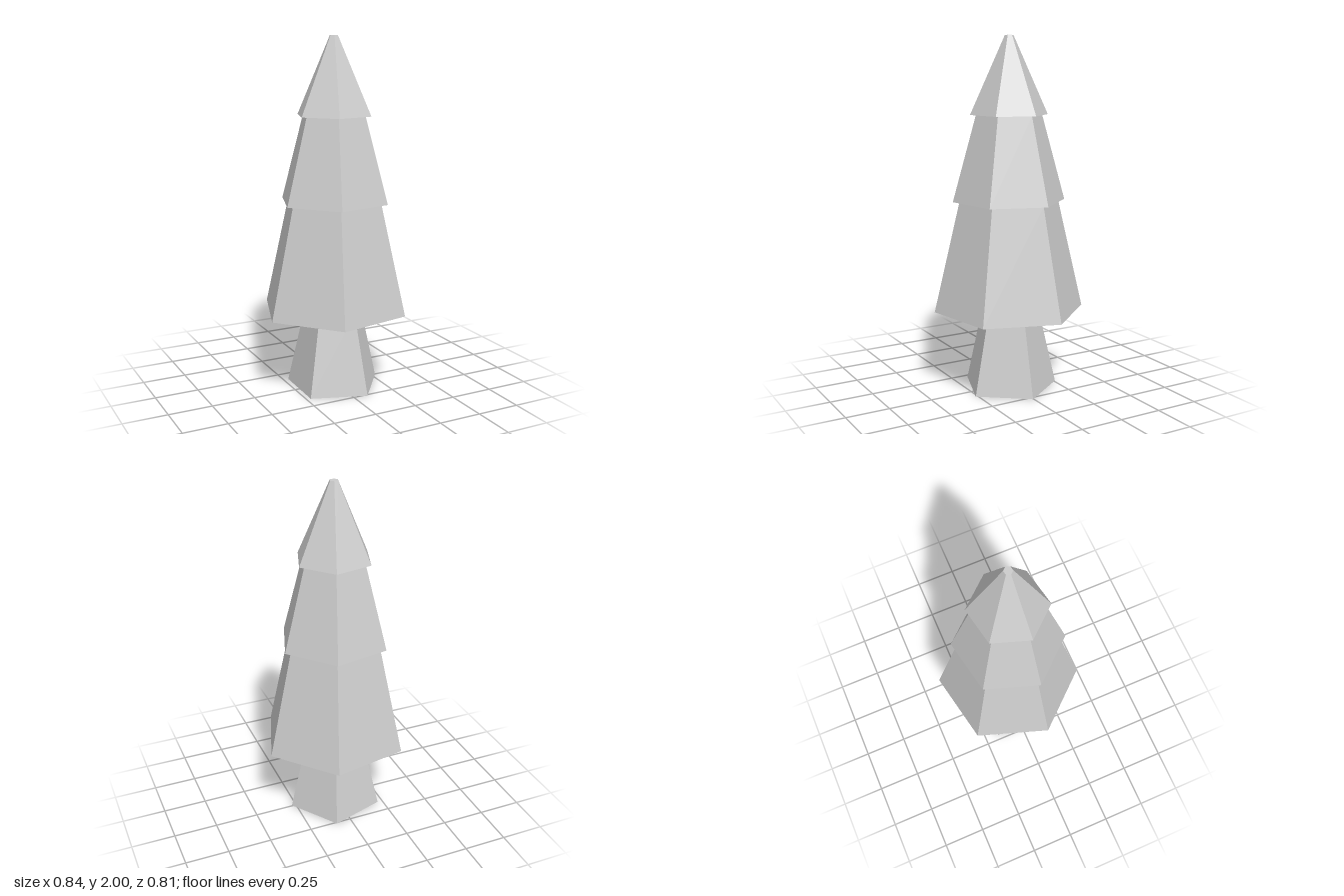
import * as THREE from 'three';

export function createModel() {
  const tree = new THREE.Group();
  tree.name = 'pineTree';
  const material = new THREE.MeshStandardMaterial({ color: 0xcccccc, flatShading: true });

  // Closed tapered prism standing between two heights
  function frustum(name, sides, bottomRadius, topRadius, y0, y1, turnDegrees) {
    const geometry = new THREE.CylinderGeometry(topRadius, bottomRadius, y1 - y0, sides);
    geometry.rotateY(THREE.MathUtils.degToRad(turnDegrees));
    geometry.translate(0, (y0 + y1) / 2, 0);
    const mesh = new THREE.Mesh(geometry, material);
    mesh.name = name;
    tree.add(mesh);
  }

  // Five-sided trunk
  frustum('trunk', 5, 0.275, 0.17, 0, 0.457, 89);

  // Three six-sided foliage tiers: bottom radius, top radius, bottom y, top y
  const tiers = [
    ['lowerFoliage', 0.43, 0.283, 0.457, 1.085],
    ['middleFoliage', 0.32, 0.187, 1.085, 1.567],
    ['upperFoliage', 0.22, 0.024, 1.567, 2],
  ];
  for (const [name, bottom, top, y0, y1] of tiers) {
    frustum(name, 6, bottom, top, y0, y1, 41.2);
  }

  return tree;
}
